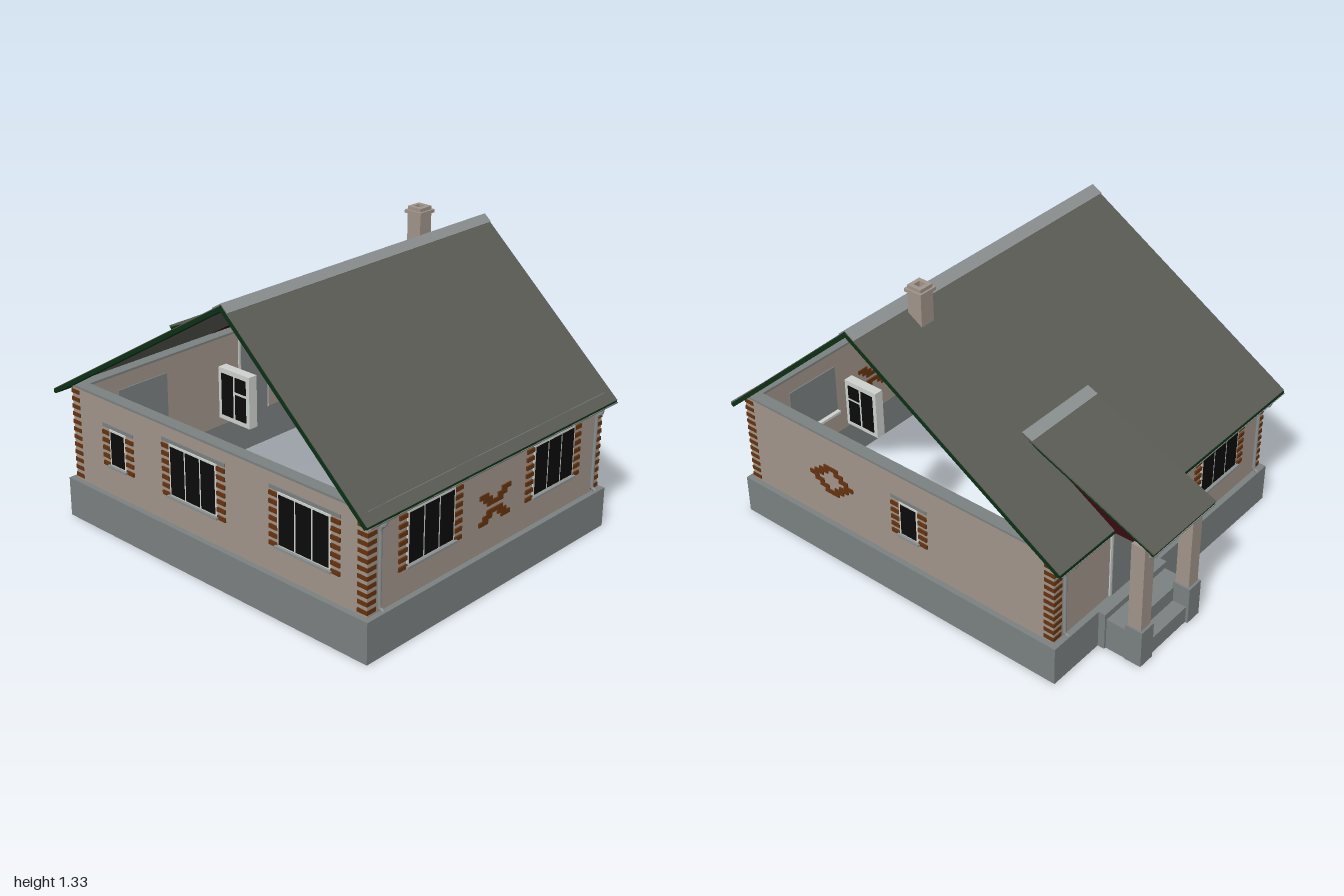
import * as THREE from 'three';

const mat = (name, color, side = THREE.FrontSide) => {
  const m = new THREE.MeshStandardMaterial({ color, side });
  m.name = name;
  return m;
};

export function createModel() {
  const root = new THREE.Group();
  root.name = 'house';
  const M = {
    wall: mat('beige plaster', 0xa0958a),
    brick: mat('brown brick', 0x663310),
    stone: mat('grey stone', 0x7b8080),
    metal: mat('grey metal', 0x8a8f90, THREE.DoubleSide),
    roof: mat('roof grey', 0x5b5c54),
    trim: mat('dark green trim', 0x0c3014),
    soffit: mat('dark red boarding', 0x380a10),
    glass: mat('black glass', 0x0b0b0b),
    frame: mat('pale frame', 0xcdd1cd),
  };

  const add = (parent, name, geo, m) => {
    const mesh = new THREE.Mesh(geo, m);
    mesh.name = name;
    parent.add(mesh);
    return mesh;
  };
  // box given by its two corners
  const box = (parent, name, m, x0, x1, y0, y1, z0, z1) => {
    const b = add(parent, name, new THREE.BoxGeometry(x1 - x0, y1 - y0, z1 - z0), m);
    b.position.set((x0 + x1) / 2, (y0 + y1) / 2, (z0 + z1) / 2);
    return b;
  };
  const group = (parent, name) => {
    const g = new THREE.Group();
    g.name = name;
    parent.add(g);
    return g;
  };
  // four-sided hollow block without floor or lid
  const ring = (name, m, X, z0, z1, y0, y1, t) => {
    const g = group(root, name);
    box(g, name + 'Front', m, -X, X, y0, y1, z1 - t, z1);
    box(g, name + 'Back', m, -X, X, y0, y1, z0, z0 + t);
    for (const s of [-1, 1]) {
      const a = s * X, b = s * (X - t);
      box(g, name + 'Side', m, Math.min(a, b), Math.max(a, b), y0, y1, z0 + t, z1 - t);
    }
  };

  ring('foundation', M.stone, 0.755, -0.757, 0.97, 0, 0.18, 0.07);
  ring('wall', M.wall, 0.73, -0.73, 0.945, 0.18, 0.61, 0.05);
  ring('wallCap', M.stone, 0.733, -0.733, 0.948, 0.61, 0.62, 0.056);

  // brick corners
  const quoins = group(root, 'cornerBricks');
  for (const sx of [-1, 1]) for (const [zc, sz] of [[0.945, 1], [-0.73, -1]]) {
    for (let i = 0; i < 12; i++) {
      const q = box(quoins, 'cornerBrick', M.brick, -0.025, 0.025, -0.009, 0.009, -0.025, 0.025);
      q.position.set(sx * 0.708, 0.2 + i * 0.0355, zc - sz * 0.022);
    }
  }

  // wall faces: local z points out of the wall, local x runs along it
  const face = (name, x, z, turn) => {
    const g = group(root, name);
    g.position.set(x, 0, z);
    g.rotation.y = turn;
    return g;
  };
  const front = face('frontDetails', 0, 0.945, 0);
  const right = face('leftDetails', 0.73, 0, Math.PI / 2);
  const left = face('rightDetails', -0.73, 0, -Math.PI / 2);
  const back = face('backDetails', 0, -0.73, Math.PI);

  const windowAt = (parent, cx, w, y0, y1, panes) => {
    const g = group(parent, 'window');
    g.position.x = cx;
    const h = w / 2, e = 0.009, q = 0.046;
    box(g, 'windowFrame', M.frame, -h, h, y0, y1, 0, 0.006);
    const pw = (w - e * (panes + 1)) / panes;
    for (let i = 0; i < panes; i++) {
      const x = -h + e + i * (pw + e);
      box(g, 'pane', M.glass, x, x + pw, y0 + e, y1 - e, 0.003, 0.008);
    }
    box(g, 'sill', M.metal, -h - 0.008, h + 0.008, y0 - 0.007, y0 + 0.003, 0, 0.018);
    box(g, 'lintel', M.stone, -h - q, h + q, y1 + 0.002, y1 + 0.018, 0, 0.004);
    box(g, 'innerPanel', M.stone, -h, h, y0, y1, -0.056, -0.05);
    box(g, 'innerSill', M.frame, -h, h, y0 - 0.012, y0, -0.075, -0.05);
    const n = Math.round((y1 - y0 + 0.015) / 0.0355);
    for (let i = 0; i < n; i++) for (const s of [-1, 1]) {
      const b = box(g, 'windowBrick', M.brick, -q / 2, q / 2, -0.009, 0.009, 0, 0.007);
      b.position.set(s * (h + q / 2), y0 + 0.001 + i * 0.0355, 0.0035);
    }
  };
  windowAt(front, -0.378, 0.275, 0.31, 0.54, 3);
  windowAt(front, 0.395, 0.275, 0.31, 0.54, 3);
  windowAt(back, 0.39, 0.275, 0.31, 0.54, 3);
  windowAt(left, 0.02, 0.275, 0.31, 0.54, 3);
  windowAt(left, 0.63, 0.275, 0.31, 0.54, 3);
  windowAt(left, -0.44, 0.1, 0.32, 0.485, 1);
  windowAt(right, -0.01, 0.1, 0.32, 0.485, 1);

  // brick ornaments run right through the wall; each row: [height, offset]
  const ornament = (parent, name, cx, cy, rows, w) => {
    const g = group(parent, name);
    g.position.set(cx, cy, 0);
    for (const [y, x] of rows) for (const s of [-1, 1])
      box(g, 'ornamentBrick', M.brick, s * x - w / 2, s * x + w / 2, y - 0.0098, y + 0.0098, -0.056, 0.006);
  };
  const cross = [], diamond = [];
  for (const s of [-1, 1]) {
    for (let i = 0; i < 3; i++) cross.push([s * (0.019 + i * 0.0196), 0.022 + i * 0.024]);
    for (let i = 1; i < 4; i++) diamond.push([s * i * 0.02, 0.098 - i * 0.028]);
  }
  diamond.push([0, 0.098]);
  ornament(front, 'crossOrnament', 0.0125, 0.369, cross, 0.056);
  ornament(right, 'diamondOrnament', -0.447, 0.4, diamond, 0.05);

  // back door
  const door = group(back, 'door');
  box(door, 'doorFrame', M.frame, -0.375, -0.185, 0.18, 0.57, -0.054, 0.005);
  box(door, 'doorLeaf', M.stone, -0.363, -0.197, 0.18, 0.558, -0.058, 0.009);

  // attic windows standing in the open gables
  for (const s of [-1, 1]) {
    const g = group(root, 'atticWindow');
    g.position.set(s * 0.7, 0, 0.2525);
    box(g, 'atticFrame', M.frame, -0.02, 0.02, 0.74, 0.95, -0.0825, 0.0825);
    for (const [y0, y1, z0, z1] of [[0.76, 0.93, -0.065, -0.004], [0.76, 0.86, 0.008, 0.065], [0.872, 0.93, 0.008, 0.065]])
      box(g, 'atticPane', M.glass, -0.023, 0.023, y0, y1, z0, z1);
  }

  // sloping board between (z0,y0) and (z1,y1), z0 < z1, hanging 'drop' below that line
  const slope = (parent, name, m, x0, x1, z0, y0, z1, y1, t, drop = 0) => {
    const a = -Math.atan2(y1 - y0, z1 - z0), d = drop + t / 2;
    const b = add(parent, name, new THREE.BoxGeometry(x1 - x0, t, Math.hypot(z1 - z0, y1 - y0)), m);
    b.position.set((x0 + x1) / 2, (y0 + y1) / 2 - d * Math.cos(a), (z0 + z1) / 2 - d * Math.sin(a));
    b.rotation.x = a;
  };
  const roof = group(root, 'roof');
  for (const r of [[0.254, 1.235, 0.985, 0.585], [-0.795, 0.593, 0.254, 1.235]]) {
    slope(roof, 'roofSlope', M.roof, -0.778, 0.778, ...r, 0.01);
    for (const x of [-0.78, 0.73]) slope(roof, 'vergeBoard', M.trim, x, x + 0.05, ...r, 0.018, 0.003);
  }
  slope(roof, 'ridgeCap', M.metal, -0.778, 0.778, 0.254, 1.24, 0.288, 1.21, 0.006);
  slope(roof, 'ridgeCap', M.metal, -0.778, 0.778, 0.206, 1.211, 0.254, 1.24, 0.006);
  box(roof, 'frontEaveBoard', M.trim, -0.778, 0.778, 0.574, 0.586, 0.968, 0.983);
  box(roof, 'backEaveBoard', M.trim, -0.778, 0.778, 0.576, 0.588, -0.795, -0.78);

  // gutters and downpipes
  const gutter = (x0, x1, y, z) => {
    const g = add(root, 'gutter', new THREE.CylinderGeometry(0.011, 0.011, x1 - x0, 10, 1, true, Math.PI / 2, Math.PI), M.metal);
    g.rotation.set(0, 0, Math.PI / 2);
    g.rotation.order = 'XYZ';
    g.geometry.rotateY(Math.PI / 2);
    g.position.set((x0 + x1) / 2, y, z);
  };
  gutter(-0.77, 0.77, 0.582, 0.984);
  gutter(-0.77, 0.03, 0.588, -0.794);
  gutter(0.48, 0.77, 0.588, -0.794);
  gutter(0.055, 0.445, 0.588, -0.989);
  const pipe = (x, pts) => add(root, 'downpipe', new THREE.TubeGeometry(
    new THREE.CatmullRomCurve3(pts.map(([y, z]) => new THREE.Vector3(x, y, z)), false, 'catmullrom', 0.2), 40, 0.008, 8), M.metal);
  for (const x of [-0.675, 0.675]) {
    pipe(x, [[0.575, 0.985], [0.555, 0.98], [0.525, 0.957], [0.22, 0.957], [0.205, 0.962], [0.198, 0.975]]);
    pipe(x, [[0.58, -0.794], [0.56, -0.785], [0.53, -0.742], [0.22, -0.742], [0.205, -0.748], [0.198, -0.76]]);
  }
  pipe(0.43, [[0.58, -0.985], [0.56, -0.98], [0.54, -0.955]]);

  // chimney with an open flue
  const chimney = group(root, 'chimney');
  const stack = (name, r, hole, y0, y1) => {
    const s = new THREE.Shape([[-r, -r], [r, -r], [r, r], [-r, r]].map(p => new THREE.Vector2(...p)));
    s.holes.push(new THREE.Path([[-hole, -hole], [-hole, hole], [hole, hole], [hole, -hole]].map(p => new THREE.Vector2(...p))));
    const c = add(chimney, name, new THREE.ExtrudeGeometry(s, { depth: y1 - y0, bevelEnabled: false }), M.wall);
    c.rotation.x = -Math.PI / 2;
    c.position.set(0.449, y0, 0.163);
  };
  stack('chimneyStack', 0.035, 0.017, 1.12, 1.297);
  stack('chimneyCap', 0.044, 0.017, 1.297, 1.311);
  stack('chimneyTop', 0.035, 0.017, 1.311, 1.326);

  // porch: base, steps, columns and lean-to roof
  const porch = group(root, 'porch');
  box(porch, 'threshold', M.stone, 0.055, 0.475, 0, 0.18, -0.789, -0.757);
  box(porch, 'landing', M.stone, 0.065, 0.465, 0, 0.15, -0.885, -0.789);
  box(porch, 'step', M.stone, 0.14, 0.39, 0, 0.08, -0.95, -0.885);
  for (const x of [0.1, 0.428]) {
    box(porch, 'pedestal', M.stone, x - 0.04, x + 0.04, 0, 0.177, -0.962, -0.88);
    box(porch, 'column', M.wall, x - 0.032, x + 0.032, 0.177, 0.59, -0.951, -0.887);
  }
  const p = [-0.997, 0.596, -0.36, 0.866];
  slope(porch, 'porchRoof', M.roof, 0.05, 0.465, ...p, 0.008);
  for (const x of [0.052, 0.443]) slope(porch, 'porchVerge', M.trim, x, x + 0.02, ...p, 0.016, 0.003);
  box(porch, 'porchEaveBoard', M.trim, 0.052, 0.463, 0.578, 0.592, -0.99, -0.978);
  slope(porch, 'porchRidgeCap', M.metal, 0.05, 0.465, -0.41, 0.849, -0.36, 0.87, 0.006);
  // boarded cheeks and ceiling: side profile as (-z, y)
  const cheek = new THREE.Shape([[0.37, 0.845], [0.79, 0.582], [0.98, 0.582], [0.98, 0.592]].map(q => new THREE.Vector2(...q)));
  const boarding = add(porch, 'porchBoarding', new THREE.ExtrudeGeometry(cheek, { depth: 0.37, bevelEnabled: false }), M.soffit);
  boarding.rotation.y = Math.PI / 2;
  boarding.position.x = 0.072;

  return root;
}
